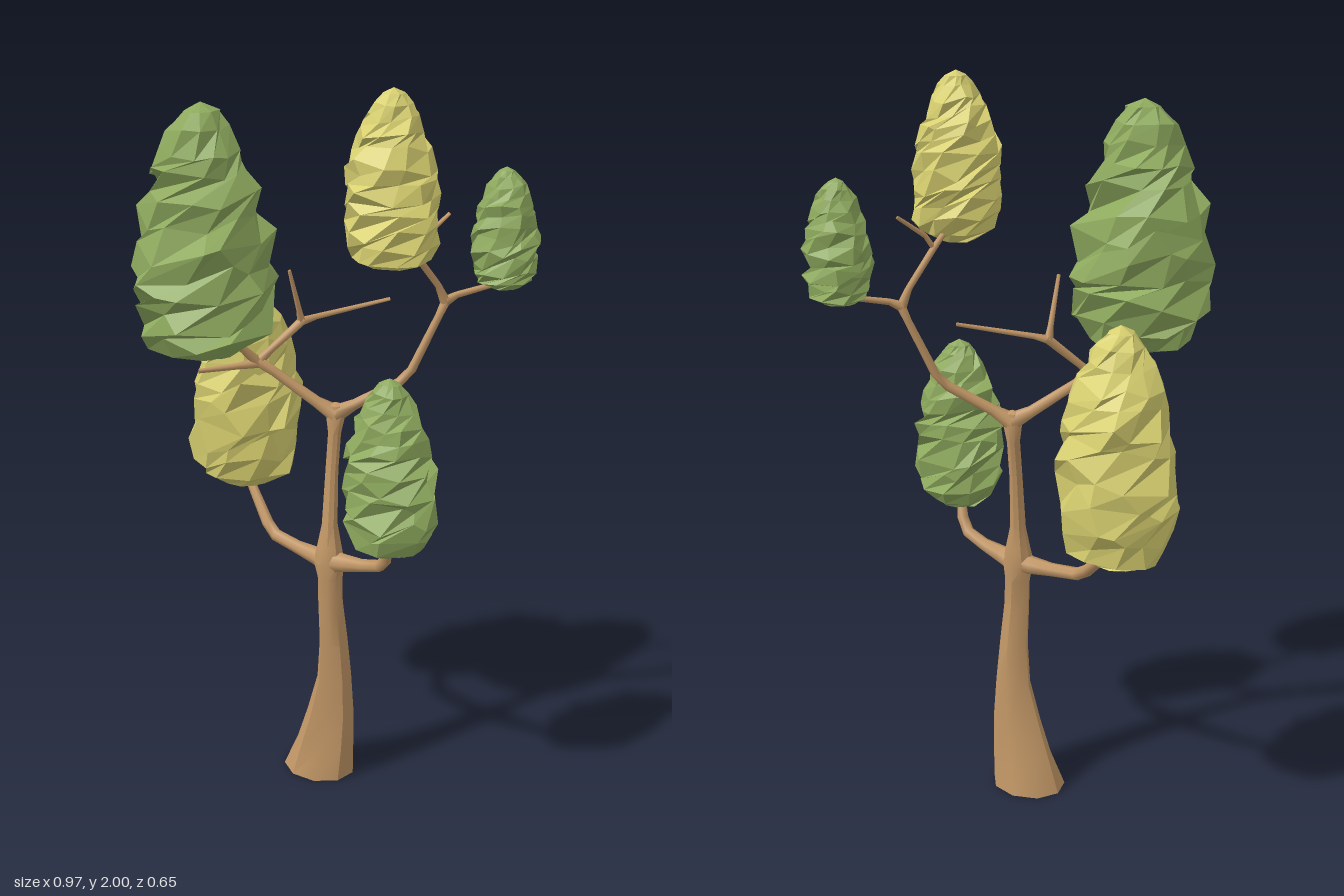
import * as THREE from 'three';
import { toCreasedNormals } from 'three/addons/utils/BufferGeometryUtils.js';

const bark = new THREE.MeshStandardMaterial({ color: 0xc29766 });
const green = new THREE.MeshStandardMaterial({ color: 0x8eaa5e, flatShading: true });
const yellow = new THREE.MeshStandardMaterial({ color: 0xd8d070, flatShading: true });

function seeded(seed) {
  let s = seed * 7919 + 17;
  return () => ((s = (s * 16807) % 2147483647) / 2147483647);
}

// Skins equal-sized closed loops of points, bottom to top
function loft(rings) {
  const n = rings[0].length, pos = rings.flat().flatMap((p) => [p.x, p.y, p.z]), index = [];
  const isPoint = (ring) => ring[0].equals(ring[1]);
  for (let j = 0; j < rings.length - 1; j++) {
    for (let i = 0; i < n; i++) {
      const a = j * n + i, b = j * n + (i + 1) % n, c = a + n, d = b + n;
      if (!isPoint(rings[j])) index.push(a, c, b);
      if (!isPoint(rings[j + 1])) index.push(b, c, d);
    }
  }
  const geo = new THREE.BufferGeometry();
  geo.setAttribute('position', new THREE.Float32BufferAttribute(pos, 3));
  geo.setIndex(index);
  geo.computeVertexNormals();
  return geo;
}

// Tapered limb through rows of [x, y, z, radius]; the tip closes to a point
function limb(name, rows, sides = 7) {
  const pts = rows.map((r) => new THREE.Vector3(r[0], r[1], r[2]));
  const up = new THREE.Vector3(0, 1, 0);
  const rings = pts.map((p, j) => {
    const before = pts[Math.max(j - 1, 0)], after = pts[Math.min(j + 1, pts.length - 1)];
    const q = new THREE.Quaternion().setFromUnitVectors(up, after.clone().sub(before).normalize());
    return Array.from({ length: sides }, (_, i) => {
      const a = (i / sides) * Math.PI * 2, r = rows[j][3];
      return new THREE.Vector3(Math.cos(a) * r, 0, Math.sin(a) * r).applyQuaternion(q).add(p);
    });
  });
  rings.push(Array.from({ length: sides }, () => pts[pts.length - 1].clone()));
  const mesh = new THREE.Mesh(loft(rings), bark);
  mesh.name = name;
  return mesh;
}

// Fluted trunk from level rings [x, y, z, rx, rz], with a flat base
function makeTrunk() {
  const rows = [
    [-0.043, 0, -0.018, 0.106, 0.086], [-0.025, 0.1, -0.016, 0.088, 0.067], [-0.008, 0.2, -0.013, 0.072, 0.055],
    [0.006, 0.32, -0.009, 0.051, 0.046], [0.006, 0.44, -0.004, 0.041, 0.041], [0, 0.56, 0.003, 0.036, 0.036],
    [-0.003, 0.64, 0, 0.036, 0.033], [-0.004, 0.69, -0.001, 0.045, 0.037], [-0.004, 0.74, -0.003, 0.034, 0.03],
    [-0.005, 0.8, -0.007, 0.022, 0.022], [-0.005, 0.95, -0.022, 0.018, 0.018],
    [-0.002, 1.06, -0.034, 0.018, 0.018], [0, 1.11, -0.036, 0.027, 0.022], [0, 1.14, -0.036, 0.02, 0.017],
    [0, 1.148, -0.036, 0, 0],
  ];
  const sides = 9;
  const geo = loft(rows.map(([x, y, z, rx, rz], j) => Array.from({ length: sides }, (_, i) => {
    const a = (i / sides) * Math.PI * 2;
    const flute = j > 0 && j < 7 ? 1 + 0.08 * Math.sin(i * 2.6 + j * 0.15) : 1;
    return new THREE.Vector3(x + Math.cos(a) * rx * flute, y, z + Math.sin(a) * rz * flute);
  })));
  const trunk = new THREE.Group();
  trunk.name = 'trunk';
  const stem = new THREE.Mesh(toCreasedNormals(geo, 0.65), bark);
  stem.name = 'trunkStem';
  const base = new THREE.Mesh(new THREE.CircleGeometry(1, sides), bark);
  base.name = 'trunkBase';
  base.rotation.x = Math.PI / 2;
  base.scale.set(rows[0][3], rows[0][4], 1);
  base.position.set(rows[0][0], 0, rows[0][2]);
  trunk.add(stem, base);
  return trunk;
}

// Profiles of the clumps: [height fraction, radius fraction]
const PLUMP = [[0.05, 0], [0, 0.45], [0.05, 0.8], [0.14, 0.95], [0.24, 1], [0.34, 1], [0.43, 0.98], [0.52, 0.95],
  [0.61, 0.88], [0.69, 0.79], [0.77, 0.68], [0.85, 0.54], [0.92, 0.38], [0.97, 0.22], [1, 0]];
const TAPERED = [[0.07, 0], [0.01, 0.5], [0.04, 0.76], [0.12, 0.94], [0.21, 1], [0.3, 1], [0.39, 0.99], [0.48, 0.92],
  [0.57, 0.83], [0.66, 0.74], [0.75, 0.65], [0.83, 0.55], [0.91, 0.43], [0.97, 0.25], [1, 0]];

// Jagged leaf clump: rings twist upwards, so the facets run as slanting shards
function foliage({ name, material, profile, seed, x, z, y0, y1, rx, rz, top }) {
  const rand = seeded(seed), sides = 11, h = y1 - y0;
  let twist = 0;
  const rings = profile.map(([t, r], j) => {
    const cx = THREE.MathUtils.lerp(x, top[0], t * t), cz = THREE.MathUtils.lerp(z, top[1], t * t);
    const fade = Math.min(1, 6 * t, 6 * (1 - t));
    twist -= rand() * 0.9;
    return Array.from({ length: sides }, (_, i) => {
      const a = ((i + twist + (rand() - 0.5) * 0.8) / sides) * Math.PI * 2;
      const ridge = 0.06 * Math.cos(Math.PI * j + a + seed) + (rand() - 0.5) * 0.2;
      const k = r * (1.015 + ridge);
      const tilt = h * (0.028 * Math.sin(a + seed) + 0.02 * Math.sin(2 * a + seed * 2 + j) + (rand() - 0.5) * 0.07);
      return new THREE.Vector3(cx + Math.cos(a) * rx * k, y0 + t * h + tilt * r * fade, cz + Math.sin(a) * rz * k);
    });
  });
  const mesh = new THREE.Mesh(loft(rings), material);
  mesh.name = name;
  return mesh;
}

export function createModel() {
  const tree = new THREE.Group();
  tree.name = 'tree';
  tree.add(makeTrunk());

  // Lower pair of boughs
  tree.add(
    limb('lowerRightBough', [[0, 0.69, 0, 0.034], [-0.05, 0.693, -0.012, 0.025], [-0.11, 0.698, -0.03, 0.019],
      [-0.19, 0.71, -0.055, 0.018], [-0.225, 0.735, -0.075, 0.017], [-0.29, 0.81, -0.122, 0.014], [-0.35, 0.89, -0.16, 0.011]]),
    limb('lowerLeftBough', [[0, 0.69, 0, 0.034], [0.05, 0.7, 0.013, 0.025], [0.11, 0.713, 0.032, 0.018],
      [0.165, 0.733, 0.053, 0.017], [0.19, 0.765, 0.075, 0.016], [0.21, 0.85, 0.105, 0.011]]),
  );

  // Upper boughs and their forks
  tree.add(
    limb('upperLeftBough', [[0, 1.115, -0.036, 0.025], [0.05, 1.145, -0.048, 0.015], [0.16, 1.21, -0.085, 0.013],
      [0.19, 1.245, -0.1, 0.012], [0.25, 1.39, -0.13, 0.01], [0.27, 1.44, -0.137, 0.013]]),
    limb('leftOuterBranch', [[0.265, 1.43, -0.135, 0.014], [0.29, 1.445, -0.155, 0.009], [0.39, 1.47, -0.235, 0.007]]),
    limb('leftInnerBranch', [[0.265, 1.43, -0.135, 0.014], [0.25, 1.475, -0.12, 0.009], [0.205, 1.57, -0.058, 0.009],
      [0.18, 1.63, 0.02, 0.006]]),
    limb('leftTwig', [[0.207, 1.57, -0.058, 0.008], [0.22, 1.605, -0.08, 0.007], [0.268, 1.66, -0.14, 0.005]], 5),
    limb('upperRightBough', [[0, 1.115, -0.036, 0.025], [-0.05, 1.145, -0.024, 0.016], [-0.16, 1.225, 0.005, 0.013],
      [-0.2, 1.255, 0.02, 0.016]]),
    limb('rightOuterBranch', [[-0.2, 1.25, 0.02, 0.015], [-0.24, 1.247, 0.06, 0.009], [-0.32, 1.245, 0.13, 0.006]]),
    limb('rightRisingBranch', [[-0.2, 1.25, 0.02, 0.015], [-0.225, 1.29, 0.05, 0.011], [-0.28, 1.38, 0.12, 0.007]]),
    limb('rightInnerBranch', [[-0.2, 1.25, 0.02, 0.015], [-0.175, 1.28, 0, 0.01], [-0.1, 1.36, -0.055, 0.012]]),
    limb('rightLongTwig', [[-0.105, 1.355, -0.052, 0.012], [-0.07, 1.367, -0.072, 0.008], [0.1, 1.408, -0.17, 0.005]], 5),
    limb('rightShortTwig', [[-0.105, 1.355, -0.052, 0.012], [-0.106, 1.39, -0.04, 0.008], [-0.108, 1.51, 0.015, 0.005]], 5),
  );

  // Five leaf clumps
  const clumps = [
    { name: 'largeUpperFoliage', material: green, profile: TAPERED, seed: 3, x: -0.297, z: 0.134, y0: 1.305, y1: 1.945,
      rx: 0.176, rz: 0.178, top: [-0.29, 0.13] },
    { name: 'largeLowerFoliage', material: yellow, profile: PLUMP, seed: 8, x: -0.33, z: -0.163, y0: 0.822, y1: 1.44,
      rx: 0.155, rz: 0.149, top: [-0.32, -0.138] },
    { name: 'lowerLeftFoliage', material: green, profile: PLUMP, seed: 5, x: 0.207, z: 0.098, y0: 0.805, y1: 1.285,
      rx: 0.123, rz: 0.104, top: [0.2, 0.092] },
    { name: 'topFoliage', material: yellow, profile: PLUMP, seed: 11, x: 0.189, z: 0.065, y0: 1.57, y1: 2,
      rx: 0.114, rz: 0.124, top: [0.19, 0.07] },
    { name: 'smallFoliage', material: green, profile: PLUMP, seed: 14, x: 0.388, z: -0.242, y0: 1.455, y1: 1.77,
      rx: 0.087, rz: 0.078, top: [0.385, -0.237] },
  ];
  clumps.forEach((c) => tree.add(foliage(c)));
  return tree;
}
